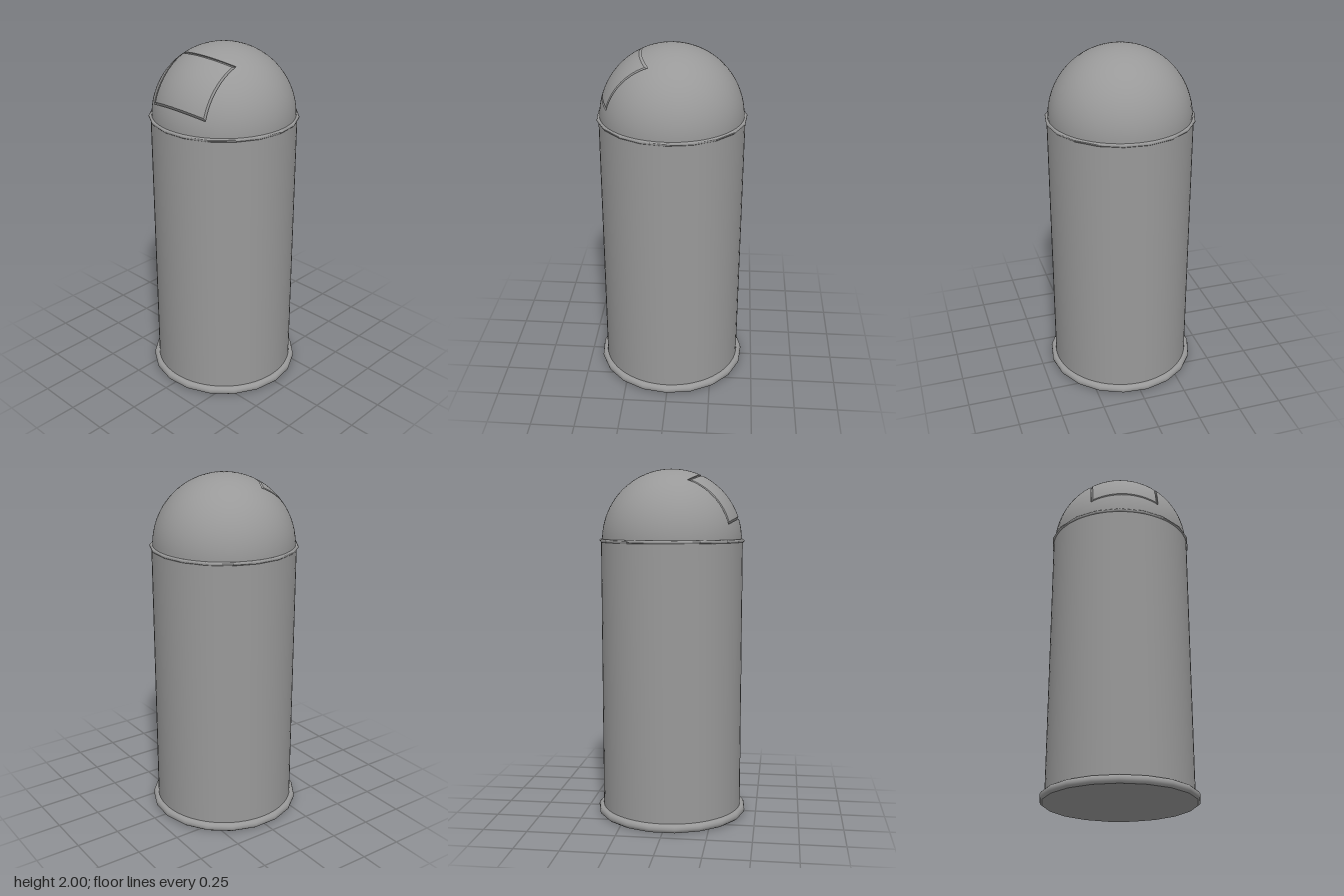
import * as THREE from 'three';
import { toCreasedNormals } from 'three/addons/utils/BufferGeometryUtils.js';

const R = 0.4, RIM_Y = 1.6, TILT = THREE.MathUtils.degToRad(33);
const DOOR = { side: 0.196, bottom: -0.108, top: 0.217 };
const BEVEL = 0.011, GROOVE = 0.014;
const material = new THREE.MeshStandardMaterial({ color: 0x999999, side: THREE.DoubleSide });

// Local axes of the tilted door: across, up the slope, outward
const across = new THREE.Vector3(1, 0, 0);
const upSlope = new THREE.Vector3(0, Math.cos(TILT), -Math.sin(TILT));
const outward = new THREE.Vector3(0, Math.sin(TILT), Math.cos(TILT));

// Point on a sphere of radius r, seen along the door direction
function onDome(u, v, r) {
  const w = Math.sqrt(r * r - u * u - v * v);
  return new THREE.Vector3().addScaledVector(across, u).addScaledVector(upSlope, v).addScaledVector(outward, w);
}

// Counter-clockwise door outline, shrunk by inset, n points per side, closed
function doorOutline(inset, r, n = 20) {
  const s = DOOR.side - inset, b = DOOR.bottom + inset, t = DOOR.top - inset;
  const corners = [[-s, b], [s, b], [s, t], [-s, t]];
  const points = [];
  corners.forEach(([u0, v0], k) => {
    const [u1, v1] = corners[(k + 1) % 4];
    for (let i = 0; i < n; i++) points.push(onDome(u0 + (u1 - u0) * i / n, v0 + (v1 - v0) * i / n, r));
  });
  points.push(points[0].clone());
  return points;
}

// Surface through rows of points
function loft(rows) {
  const n = rows[0].length, index = [];
  for (let j = 0; j < rows.length - 1; j++) {
    for (let i = 0; i < n - 1; i++) {
      const a = j * n + i, b = a + n;
      index.push(a, b, a + 1, a + 1, b, b + 1);
    }
  }
  const geometry = new THREE.BufferGeometry().setFromPoints(rows.flat());
  geometry.setIndex(index);
  return toCreasedNormals(geometry, 0.6);
}

function lathe(points, segments) {
  const profile = points.map(([x, y]) => new THREE.Vector2(x, y));
  return toCreasedNormals(new THREE.LatheGeometry(profile, segments, Math.PI / 2), 0.9);
}

export function createModel() {
  const group = new THREE.Group();
  const add = (name, geometry, y = 0) => {
    const mesh = new THREE.Mesh(geometry, material);
    mesh.name = name;
    mesh.position.set(-0.003, y, 0);
    group.add(mesh);
  };

  // Round body with a narrow lip under the dome
  add('body', lathe([[0.406, 0.02], [0.406, 1.603], [0.39, 1.603]], 64));

  // Base with a faceted rounded rim and a flat underside
  add('base', lathe([[0.423, 0], [0.434, 0.009], [0.437, 0.022], [0.434, 0.035], [0.425, 0.044], [0.412, 0.046], [0.39, 0.046]], 19));
  add('underside', new THREE.CircleGeometry(0.423, 19).rotateX(Math.PI / 2));

  // Thin faceted band between body and dome
  add('band', lathe([[0.395, -0.009], [0.411, -0.009], [0.417, -0.003], [0.417, 0.003], [0.411, 0.009], [0.395, 0.009]], 19), RIM_Y - 0.003);

  // Dome: rows run from the door opening out along great circles to the rim
  const opening = doorOutline(0, R);
  const rows = [];
  const steps = 28;
  for (let j = 0; j <= steps; j++) {
    rows.push(opening.map((p) => {
      const side = p.clone().addScaledVector(outward, -p.dot(outward)).normalize();
      const start = Math.acos(p.dot(outward) / R);
      const end = Math.atan2(outward.y, -side.y);
      const angle = start + (end - start) * (j / steps);
      return outward.clone().multiplyScalar(R * Math.cos(angle)).addScaledVector(side, R * Math.sin(angle));
    }));
  }
  add('dome', loft(rows), RIM_Y);

  // V-shaped groove around the door
  add('doorGroove', loft([doorOutline(BEVEL, R), doorOutline(0.002, R - GROOVE), opening]), RIM_Y);

  // Curved door panel
  const panel = [];
  for (let j = 0; j <= 20; j++) {
    const v = THREE.MathUtils.lerp(DOOR.top - BEVEL, DOOR.bottom + BEVEL, j / 20);
    const row = [];
    for (let i = 0; i <= 20; i++) row.push(onDome((i / 10 - 1) * (DOOR.side - BEVEL), v, R));
    panel.push(row);
  }
  add('door', loft(panel), RIM_Y);

  return group;
}
